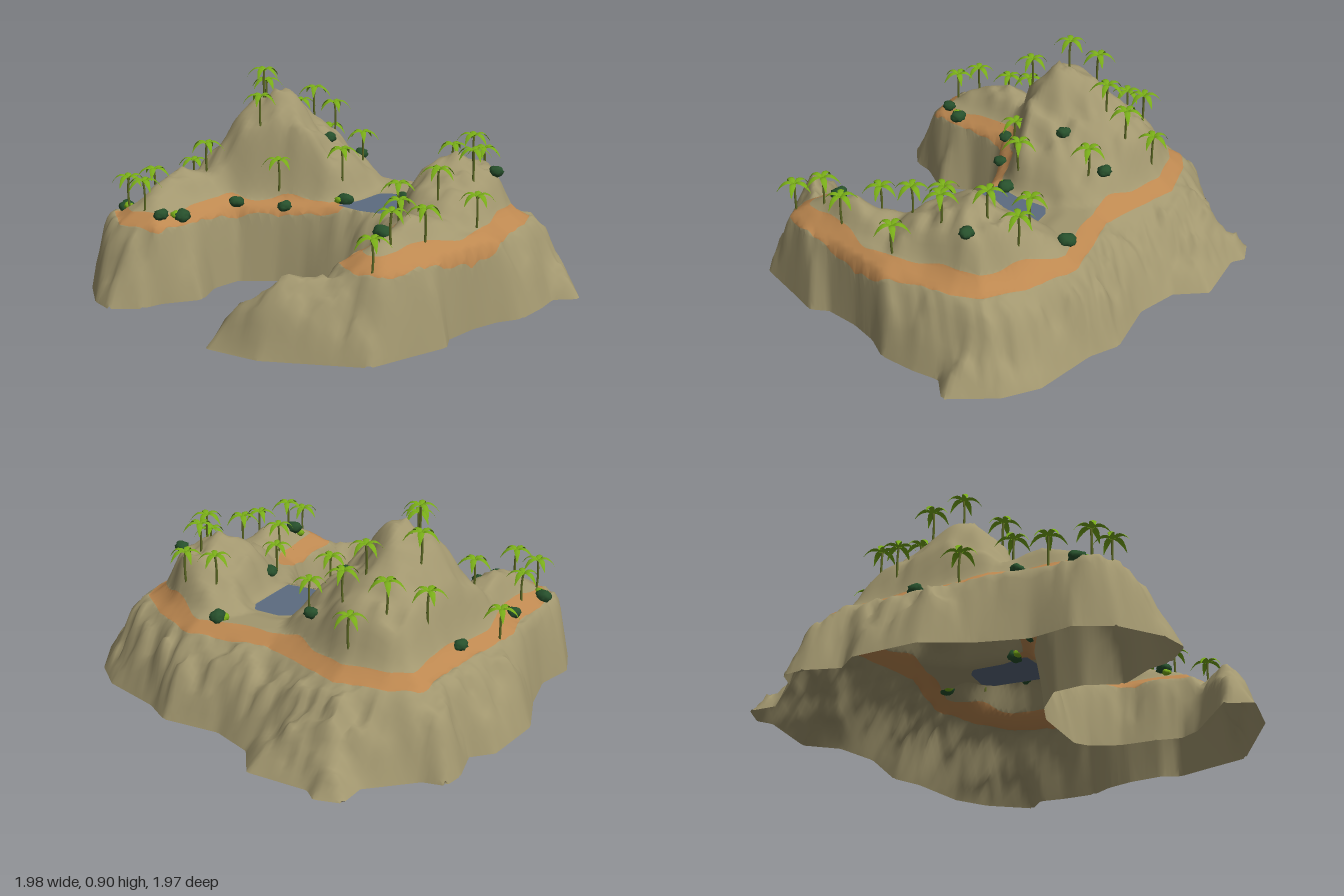
import * as THREE from 'three';
import { mergeVertices, mergeGeometries } from 'three/addons/utils/BufferGeometryUtils.js';

const mat = (name, color, side = THREE.FrontSide) => {
  const m = new THREE.MeshStandardMaterial({ color, side });
  m.name = name;
  return m;
};

// Shoreline at y = 0 and the plateau rim, as x, z pairs
const SHORE = [-.61, -.96, -.5, -.99, -.45, -.945, -.18, -.945, -.09, -.81, .09, -.74, .35, -.755, .47, -.68, .74, -.6,
  .87, -.49, .985, -.29, .89, -.22, .89, -.1, .87, .06, .8, .15, .75, .27, .72, .42, .75, .5, .68, .65, .6, .83,
  .2, .985, -.04, .985, -.07, .86, .2, .7, .26, .62, .25, .51, .26, .35, .22, .22, .17, .17, -.13, .14, -.25, .17,
  -.4, .26, -.43, .39, -.385, .54, -.5, .67, -.535, .76, -.65, .835, -.76, .79, -.9, .65, -.95, .5, -.9, .33,
  -.93, .14, -1, -.07, -.96, -.34, -.88, -.42, -.91, -.57, -.89, -.66, -.8, -.68, -.62, -.84];
const RIM = [-.83, .11, -.8, -.05, -.75, -.34, -.73, -.56, -.61, -.62, -.4, -.65, -.13, -.545, -.02, -.51, .35, -.55,
  .57, -.44, .72, -.32, .75, -.2, .74, -.05, .77, .11, .73, .25, .68, .41, .63, .59, .57, .7, .46, .71, .36, .65,
  .36, .46, .37, .33, .29, .2, .23, .08, .17, .06, -.02, .06, -.14, .085, -.26, .13, -.44, .22, -.48, .4, -.5, .52,
  -.54, .645, -.72, .65, -.82, .56, -.83, .43, -.8, .25];
const POOL = [.03, -.25, .08, -.275, .2, -.27, .23, -.22, .225, -.05, .22, .04, .1, .05, -.03, .02, .015, -.1];

// Signed distance to a polygon, positive inside
function inside(poly, x, z) {
  let best = 9, sign = -1;
  for (let i = 0, n = poly.length; i < n; i += 2) {
    const ax = poly[i], az = poly[i + 1], bx = poly[(i + 2) % n], bz = poly[(i + 3) % n];
    const ex = bx - ax, ez = bz - az;
    const t = Math.min(1, Math.max(0, ((x - ax) * ex + (z - az) * ez) / (ex * ex + ez * ez)));
    best = Math.min(best, Math.hypot(x - ax - t * ex, z - az - t * ez));
    if ((az > z) !== (bz > z) && x < ax + ex * (z - az) / ez) sign = -sign;
  }
  return sign * best;
}

// Smooth value noise in -1..1
const hash = (i, j) => { const s = Math.sin(i * 127.1 + j * 311.7) * 43758.5453; return (s - Math.floor(s)) * 2 - 1; };
function noise(x, z) {
  const i = Math.floor(x), j = Math.floor(z), u = x - i, v = z - j;
  const a = u * u * (3 - 2 * u), b = v * v * (3 - 2 * v), mix = THREE.MathUtils.lerp;
  return mix(mix(hash(i, j), hash(i + 1, j), a), mix(hash(i, j + 1), hash(i + 1, j + 1), a), b);
}

// Hills: centre x, z, height, then reach to -x, +x, -z, +z
const HILLS = [
  [-.42, -.08, .485, .44, .46, .62, .36],
  [.47, -.13, .275, .32, .33, .44, .38],
  [.52, .38, .1, .2, .2, .4, .34],
  [-.66, .3, .12, .24, .24, .45, .36],
];
function hillHeight(x, z) {
  let h = 0;
  for (const [cx, cz, top, l, r, b, f] of HILLS) {
    const d = Math.hypot((x - cx) / (x < cx ? l : r), (z - cz) / (z < cz ? b : f));
    h = Math.max(h, top * Math.max(0, 1 - d) ** .97);
  }
  return h;
}

function height(x, z) {
  const shore = Math.max(0, inside(SHORE, x, z)), rim = inside(RIM, x, z);
  const s = THREE.MathUtils.smoothstep;
  if (rim < 0) {
    // cliff, steeper on the left, with gullies and the low spit at the front
    const t = shore / (shore - rim), edge = Math.min(1, shore / .05);
    const bulge = 1.4 + .6 * s(-x, .7, .85);
    const rough = noise(x * 13, z * 13) * .045 + noise(x * 27 + 9, z * 27) * .03;
    const spit = .17 * Math.exp(-(((x - .18) / .25) ** 2) - ((z - .84) / .12) ** 2);
    return Math.max(0, .32 * (1 - (1 - t) ** bulge) + rough * 4 * t * (1 - t) * edge + spit * edge * (1 - t));
  }
  const h = hillHeight(x, z);
  const rough = (noise(x * 9 + 4, z * 9) * .035 + noise(x * 20, z * 20 + 7) * .022) * Math.min(1, h * 6);
  const land = .32 + Math.min(.04, rim * .7) + (h + rough) * s(rim, .045, .135);
  return THREE.MathUtils.lerp(.343, land, s(-inside(POOL, x, z), 0, .09));
}

// Path field: a band just inside the rim, narrower by the inlet, broken at the pool
function pathField(x, z) {
  const rim = inside(RIM, x, z);
  const width = x > -.6 && x < 0 && z > 0 ? .05 : .064;
  const band = Math.min(rim + .008, width + .018 * noise(x * 8, z * 8 + 3) - rim);
  const gap = Math.max(Math.abs(x - .18) - .17, Math.abs(z - .15) - .17);
  return Math.min(band, gap);
}

// Splits a convex polygon of [x, z] points where a field crosses zero
function split(poly, field) {
  const pos = [], neg = [], f = poly.map(p => field(p[0], p[1]));
  poly.forEach((p, i) => {
    const k = (i + 1) % poly.length, q = poly[k];
    (f[i] >= 0 ? pos : neg).push(p);
    if ((f[i] >= 0) !== (f[k] >= 0)) {
      const t = f[i] / (f[i] - f[k]);
      const m = [p[0] + (q[0] - p[0]) * t, p[1] + (q[1] - p[1]) * t];
      pos.push(m); neg.push(m);
    }
  });
  return [pos, neg];
}

// Island shell, divided into rock, path and water faces
function islandGeometry() {
  const parts = [[], [], []], step = .02, cache = new Map();
  const add = (k, poly) => {
    for (let i = 1; i + 1 < poly.length; i++) {
      for (const p of [poly[0], poly[i], poly[i + 1]]) {
        const key = p[0].toFixed(5) + ',' + p[1].toFixed(5);
        if (!cache.has(key)) cache.set(key, height(p[0], p[1]));
        parts[k].push(p[0], cache.get(key), p[1]);
      }
    }
  };
  const field = poly => (x, z) => inside(poly, x, z);
  for (let i = -51; i < 51; i++) for (let j = -51; j < 51; j++) {
    const x = i * step, z = j * step, X = x + step, Z = z + step;
    if (inside(SHORE, x, z) < -.04) continue;
    for (const tri of [[[x, z], [x, Z], [X, z]], [[X, z], [x, Z], [X, Z]]]) {
      const land = split(tri, field(SHORE))[0];
      if (land.length < 3) continue;
      const [water, dry] = split(land, field(POOL));
      const [path, rock] = split(dry, pathField);
      add(0, rock); add(1, path); add(2, water);
    }
  }
  const g = new THREE.BufferGeometry();
  g.setAttribute('position', new THREE.Float32BufferAttribute(parts.flat(), 3));
  let start = 0;
  parts.forEach((p, k) => { g.addGroup(start, p.length / 3, k); start += p.length / 3; });
  const merged = mergeVertices(g, 1e-4);
  merged.computeVertexNormals();
  return merged;
}

// Crown of five arching, folded fronds
function crownGeometry() {
  const fronds = [], N = 6;
  for (let k = 0; k < 5; k++) {
    const v = [], idx = [];
    for (let i = 0; i <= N; i++) {
      const s = i / N, w = .0135 * Math.sin(Math.PI * (.15 + .83 * s)), y = .085 * s - .115 * s * s;
      v.push(.078 * s, y - w * .4, w, .078 * s, y, 0, .078 * s, y - w * .4, -w);
      if (i < N) for (const o of [0, 1]) {
        const a = i * 3 + o;
        idx.push(a, a + 1, a + 3, a + 1, a + 4, a + 3);
      }
    }
    const g = new THREE.BufferGeometry();
    g.setAttribute('position', new THREE.Float32BufferAttribute(v, 3));
    g.setIndex(idx);
    g.computeVertexNormals();
    // the strip is wound so that its upper side is the front
    fronds.push(g.rotateY(k * Math.PI * 2 / 5));
  }
  const crown = mergeGeometries(fronds);
  const flip = crown.index.array;
  if (crown.attributes.normal.getY(4) < 0) {
    for (let i = 0; i < flip.length; i += 3) [flip[i + 1], flip[i + 2]] = [flip[i + 2], flip[i + 1]];
    crown.computeVertexNormals();
  }
  return crown;
}

const PALMS = [-.41, -.55, -.52, -.45, -.33, -.45, -.37, -.34, -.64, -.32, -.55, -.21, -.13, -.37, -.49, -.1, -.81, .02,
  -.06, -.07, -.41, .05, -.3, .075, -.62, .17, -.77, .36, -.77, .53, -.65, .58, .35, -.34, .49, -.36, .5, -.23,
  .58, -.06, .31, .09, .51, .12, .68, .11, .44, .32, .6, .41, .53, .55, .53, .7];
// Bushes: x, z, 1 where a pale shrub grows beside it
const BUSHES = [[-.73, -.2, 0], [-.17, -.43, 0], [-.21, -.21, 0], [.26, -.465, 1], [.62, -.2, 0], [.28, -.01, 0], [-.02, -.03, 1],
  [-.44, .2, 0], [-.24, .12, 0], [-.78, .24, 0], [-.82, .49, 1], [-.51, .5, 1], [-.56, .58, 0], [.47, .51, 1]];

export function createModel() {
  const model = new THREE.Group();
  const rock = mat('sandy rock', 0xa2976f, THREE.DoubleSide);
  const path = mat('clay path', 0xbd8850, THREE.DoubleSide);
  const water = mat('pool water', 0x5c6c80, THREE.DoubleSide);
  const leaf = mat('palm green', 0x78ac18, THREE.DoubleSide);
  const bark = mat('palm trunk', 0x5d6a24);
  const bush = mat('bush green', 0x27502c);

  const island = new THREE.Mesh(islandGeometry(), [rock, path, water]);
  island.name = 'island';
  model.add(island);

  // Palms
  const crown = crownGeometry();
  const trunkCurve = new THREE.QuadraticBezierCurve3(
    new THREE.Vector3(0, -.02, 0), new THREE.Vector3(.01, .06, 0), new THREE.Vector3(0, .125, 0));
  const trunk = new THREE.TubeGeometry(trunkCurve, 5, .005, 6);
  for (let i = 0; i < PALMS.length; i += 2) {
    const palm = new THREE.Group(), x = PALMS[i], z = PALMS[i + 1];
    palm.name = 'palm';
    const stem = new THREE.Mesh(trunk, bark), top = new THREE.Mesh(crown, leaf);
    stem.name = 'trunk';
    top.name = 'fronds';
    top.position.y = .126;
    palm.add(stem, top);
    palm.position.set(x, height(x, z), z);
    palm.rotation.y = i * 1.7;
    model.add(palm);
  }

  // Bushes, lumpy and slightly squashed
  const lump = mergeVertices(new THREE.IcosahedronGeometry(.032, 2).deleteAttribute('normal').deleteAttribute('uv'));
  const p = lump.attributes.position;
  for (let i = 0; i < p.count; i++) {
    const k = 1 + .16 * hash(i, 5);
    p.setXYZ(i, p.getX(i) * k * 1.1, p.getY(i) * k * .85, p.getZ(i) * k);
  }
  lump.computeVertexNormals();
  const plant = (x, z, size, material, name) => {
    const m = new THREE.Mesh(lump, material);
    m.name = name;
    m.scale.setScalar(size);
    m.position.set(x, height(x, z) + .014 * size, z);
    m.rotation.y = x * 20;
    model.add(m);
  };
  for (const [x, z, pale] of BUSHES) {
    plant(x, z, pale ? 1.05 : .9, bush, 'bush');
    if (pale) plant(x + (x < -.6 ? .025 : -.022), z + .018, .6, leaf, 'paleShrub');
  }
  return model;
}
